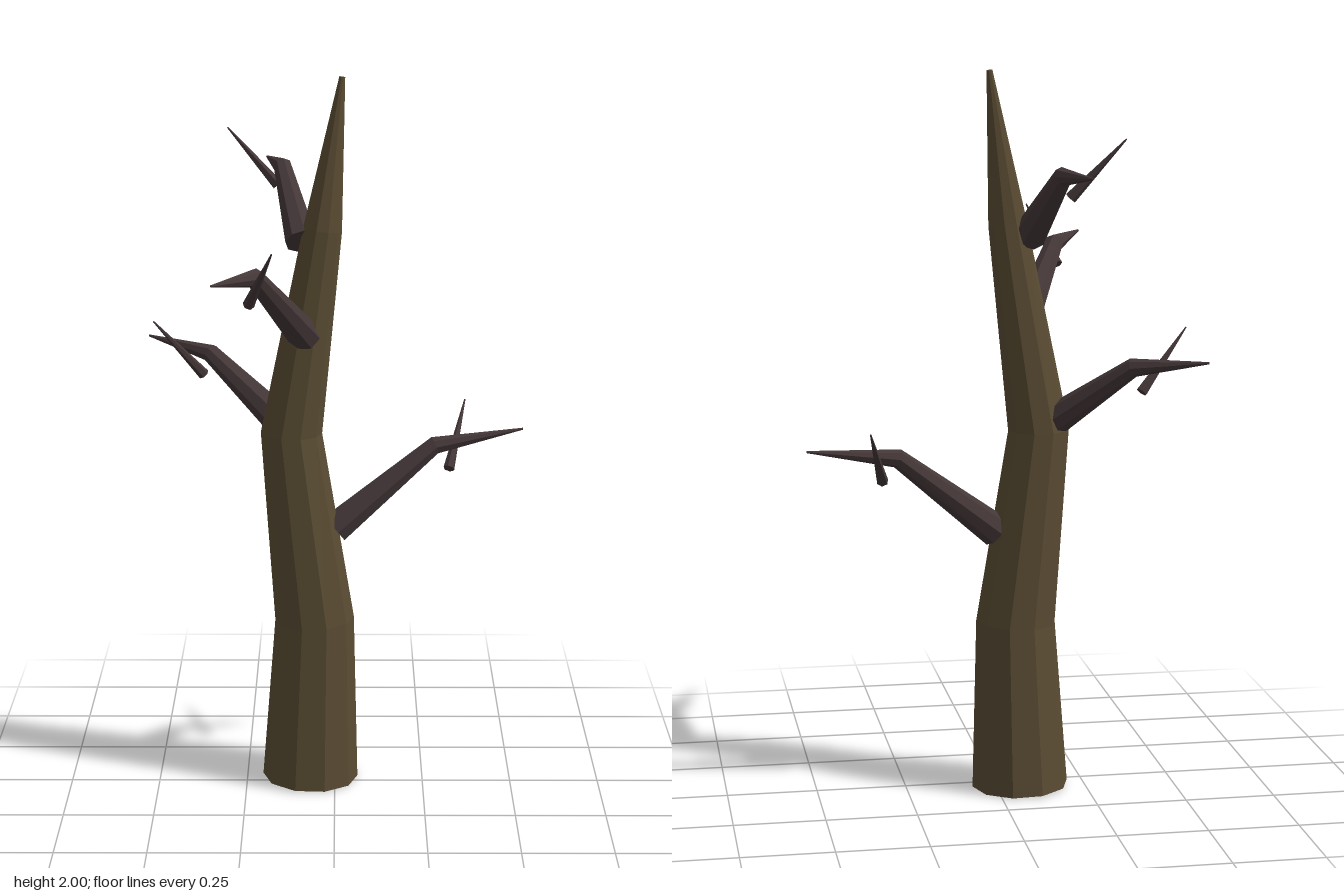
import * as THREE from 'three';

// Faceted tapering limb: rings square to a path of [x, y, z, radius] points, capped at both ends
function limbGeometry(points, sides) {
  const centres = points.map(p => new THREE.Vector3(p[0], p[1], p[2]));
  const last = points.length - 1;
  const first = centres[1].clone().sub(centres[0]).normalize();
  const ref = Math.abs(first.y) > 0.9 ? new THREE.Vector3(1, 0, 0) : new THREE.Vector3(0, 1, 0);
  const positions = [];
  const index = [];

  centres.forEach((c, i) => {
    const t = new THREE.Vector3();
    if (i > 0) t.add(c.clone().sub(centres[i - 1]).normalize());
    if (i < last) t.add(centres[i + 1].clone().sub(c).normalize());
    t.normalize();
    const v = t.clone().cross(ref).normalize();
    const u = v.clone().cross(t);
    for (let j = 0; j < sides; j++) {
      const a = (j / sides) * Math.PI * 2;
      const p = c.clone()
        .addScaledVector(u, Math.cos(a) * points[i][3])
        .addScaledVector(v, Math.sin(a) * points[i][3]);
      positions.push(p.x, p.y, p.z);
    }
  });
  const base = positions.length / 3;
  for (const c of [centres[0], centres[last]]) positions.push(c.x, c.y, c.z);

  for (let j = 0; j < sides; j++) {
    const k = (j + 1) % sides;
    for (let i = 0; i < last; i++) {
      const a = i * sides + j, b = i * sides + k;
      // u, v and the path direction form a right-handed frame
      index.push(a, b, b + sides, a, b + sides, a + sides);
    }
    index.push(base, k, j, base + 1, last * sides + j, last * sides + k);
  }

  const geometry = new THREE.BufferGeometry();
  geometry.setAttribute('position', new THREE.Float32BufferAttribute(positions, 3));
  geometry.setIndex(index);
  const flat = geometry.toNonIndexed();
  flat.computeVertexNormals();
  return flat;
}

export function createModel() {
  const trunkBark = new THREE.MeshStandardMaterial({ color: 0x5a4c33 });
  trunkBark.name = 'trunk bark';
  const branchBark = new THREE.MeshStandardMaterial({ color: 0x443738 });
  branchBark.name = 'branch bark';

  const tree = new THREE.Group();
  tree.name = 'deadTree';

  function limb(name, points, sides, material, parent) {
    const mesh = new THREE.Mesh(limbGeometry(points, sides), material);
    mesh.name = name;
    parent.add(mesh);
  }

  // Bent trunk tapering to a point
  limb('trunk', [
    [-0.07, 0.006, -0.037, 0.135],
    [-0.057, 0.48, -0.037, 0.111],
    [-0.12, 1.02, -0.04, 0.085],
    [-0.033, 1.59, -0.038, 0.053],
    [0.02, 2.0, -0.06, 0.008],
  ], 10, trunkBark, tree);

  // Each branch: root, elbow and tip, plus a twig crossing near the elbow
  const branches = [
    { name: 'leftBranch', root: [-0.0, 0.74, -0.05], elbow: [0.28, 0.965, -0.11], tip: [0.53, 1.0, -0.16],
      twig: [[0.32, 0.9, -0.1], [0.37, 1.06, -0.26]] },
    { name: 'frontBranch', root: [-0.08, 1.3, -0.005], elbow: [-0.21, 1.505, 0.21], tip: [-0.315, 1.52, 0.395],
      twig: [[-0.225, 1.44, 0.245], [-0.16, 1.6, 0.38]] },
    { name: 'rightBranch', root: [-0.14, 1.035, -0.06], elbow: [-0.35, 1.21, -0.195], tip: [-0.53, 1.235, -0.31],
      twig: [[-0.37, 1.145, -0.21], [-0.505, 1.31, -0.15]] },
    { name: 'backBranch', root: [-0.09, 1.555, -0.05], elbow: [-0.145, 1.73, -0.245], tip: [-0.193, 1.735, -0.4],
      twig: [[-0.16, 1.675, -0.27], [-0.3, 1.83, -0.308]] },
  ];
  for (const { name, root, elbow, tip, twig } of branches) {
    const group = new THREE.Group();
    group.name = name;
    limb(name + 'Limb', [[...root, 0.046], [...elbow, 0.026], [...tip, 0.003]], 8, branchBark, group);
    limb(name + 'Twig', [[...twig[0], 0.016], [...twig[1], 0.002]], 6, branchBark, group);
    tree.add(group);
  }

  return tree;
}
